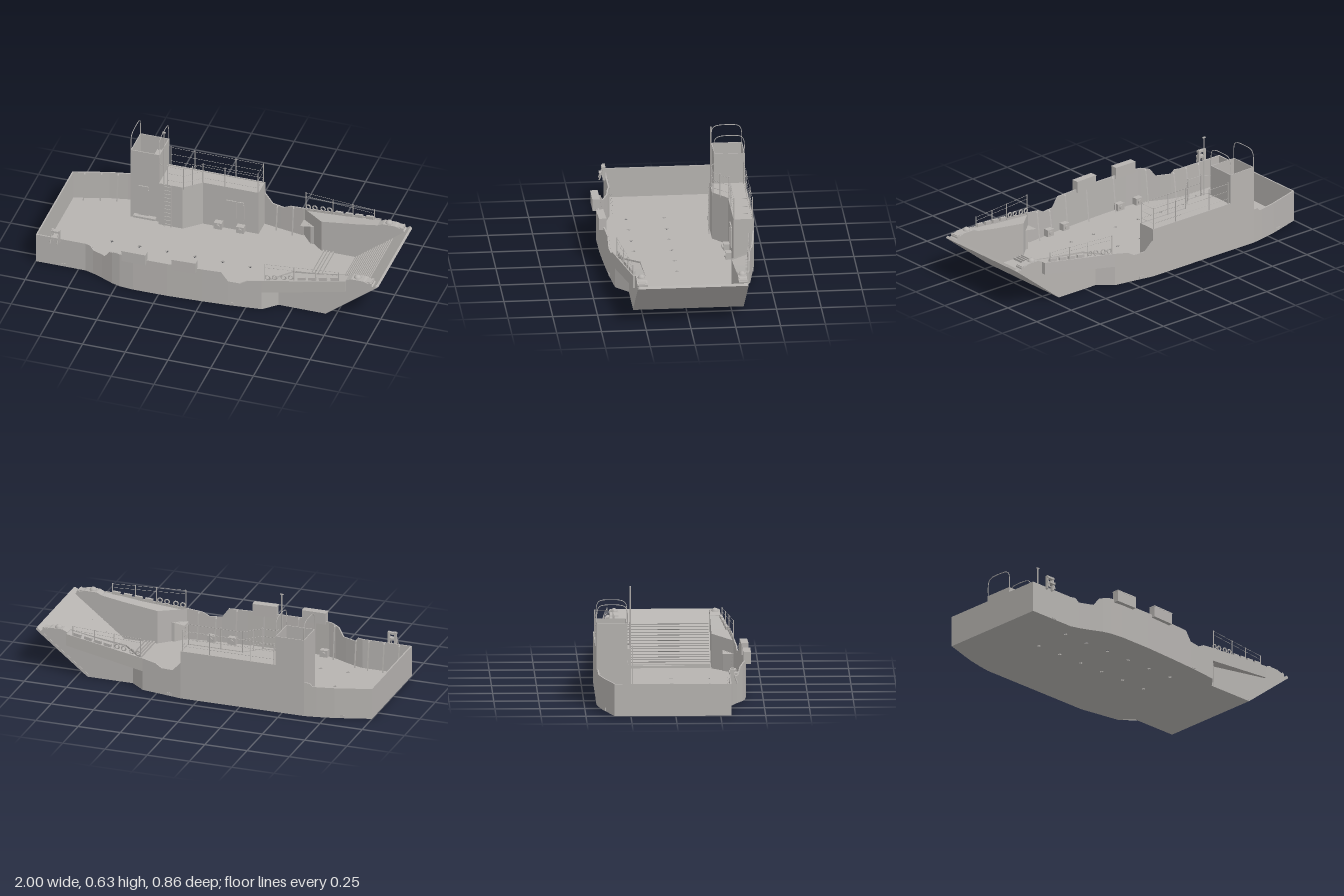
import * as THREE from 'three';

const grey = new THREE.MeshStandardMaterial({ color: 0xb6b3b0, side: THREE.DoubleSide });
grey.name = 'hull grey';

// linear lookup in a list of [x, value]
const at = (list, x) => {
  if (x <= list[0][0]) return list[0][1];
  for (let i = 1; i < list.length; i++) {
    const [a, va] = list[i - 1], [b, vb] = list[i];
    if (x <= b) return va + (vb - va) * (x - a) / (b - a);
  }
  return list[list.length - 1][1];
};

// half-breadths and bulwark heights of the two sides
const planFront = [[-1, .31], [-.71, .31], [-.66, .325], [-.6, .35], [-.53, .383], [-.48, .398], [-.4, .406], [-.2, .405], [0, .395], [.15, .385], [.34, .365], [.81, .306]];
const planBack = [[-1, -.34], [-.95, -.355], [-.88, -.376], [-.8, -.4], [-.7, -.421], [-.63, -.432], [.1, -.432], [.2, -.414], [.34, -.39], [.81, -.342]];
const topFront = [[-1, .18], [-.68, .18], [-.66, .157], [-.58, .157], [-.55, .2], [-.5, .215], [.11, .215], [.15, .16], [.22, .156], [.26, .178], [.34, .19], [.81, .25]];
const topBack = [[-1, .18], [-.68, .18], [-.66, .2], [-.631, .2], [-.63, .285], [.1, .285], [.101, .215], [.15, .16], [.22, .156], [.26, .178], [.34, .19], [.81, .25]];
const rampY = x => Math.max(0, (x - .685) * .79);
const keel = x => x < .34 ? 0 : .112 + (x - .34) * .145;
const sides = [
  { s: 1, label: 'front', plan: planFront, top: topFront, inner: .237, cheek: .295 },
  { s: -1, label: 'back', plan: planBack, top: topBack, inner: -.272, cheek: -.32 },
];

export function createModel() {
  const root = new THREE.Group();
  const add = (geo, name, x = 0, y = 0, z = 0, parent = root) => {
    const m = new THREE.Mesh(geo, grey);
    m.name = name;
    m.position.set(x, y, z);
    parent.add(m);
    return m;
  };
  const box = (name, x, y, z, w, h, d, ry = 0, parent = root) => {
    const m = add(new THREE.BoxGeometry(w, h, d), name, x, y, z, parent);
    m.rotation.y = ry;
    return m;
  };
  const rod = (name, a, b, r) => {
    const A = new THREE.Vector3(...a), B = new THREE.Vector3(...b), d = B.clone().sub(A);
    const m = add(new THREE.CylinderGeometry(r, r, d.length(), 6), name);
    m.position.copy(A).add(B).multiplyScalar(.5);
    m.quaternion.setFromUnitVectors(new THREE.Vector3(0, 1, 0), d.normalize());
    return m;
  };
  // surface joining rows of points, flat shaded
  const skin = (name, rows, wrap = false) => {
    const p = [], n = rows[0].length;
    for (let i = 0; i + 1 < rows.length; i++) {
      for (let j = 0; j < (wrap ? n : n - 1); j++) {
        const k = (j + 1) % n, a = rows[i][j], b = rows[i + 1][j], c = rows[i + 1][k], d = rows[i][k];
        p.push(...a, ...b, ...c, ...a, ...c, ...d);
      }
    }
    const g = new THREE.BufferGeometry();
    g.setAttribute('position', new THREE.Float32BufferAttribute(p, 3));
    g.computeVertexNormals();
    return add(g, name);
  };
  // upright plate along stations [x, z, bottom, top], thickened to one side
  const wall = (name, pts, t = .008) => {
    const rows = pts.map(([x, z, y0, y1], i) => {
      const a = pts[Math.max(0, i - 1)], b = pts[Math.min(pts.length - 1, i + 1)];
      const dx = b[0] - a[0], dz = b[1] - a[1], l = Math.hypot(dx, dz) || 1;
      const ox = -dz / l * t, oz = dx / l * t;
      return [[x, y0, z], [x, y1, z], [x + ox, y1, z + oz], [x + ox, y0, z + oz]];
    });
    return skin(name, rows, true);
  };
  // flat plate with an outline in x, z
  const slab = (name, outline, y, h, holes = []) => {
    const s = new THREE.Shape(outline.map(([x, z]) => new THREE.Vector2(x, -z)));
    s.holes = holes;
    const g = new THREE.ExtrudeGeometry(s, { depth: h, bevelEnabled: false });
    g.rotateX(-Math.PI / 2);
    return add(g, name, 0, y, 0);
  };

  // deck with cross-shaped drain holes
  const holes = [];
  for (const z of [.003, .215]) for (let i = 0; i < 6; i++) {
    const x = -.655 + i * .162, a = .004, b = .011;
    holes.push(new THREE.Path([[a, a], [a, b], [-a, b], [-a, a], [-b, a], [-b, -a], [-a, -a], [-a, -b], [a, -b], [a, -a], [b, -a], [b, a]]
      .map(([u, v]) => new THREE.Vector2(x + u, -z + v))));
  }
  slab('deck', [...planFront.slice(0, -1), [.4, .295], [.69, .295], [.69, -.32], [.4, -.32],
    ...planBack.slice(0, -1).reverse()], 0, .008, holes);
  wall('transom', [[-1, -.34, 0, .18], [-1, .31, 0, .18]], -.008);

  for (const { s, label, plan, top, inner, cheek } of sides) {
    const xs = [...new Set([...plan, ...top].map(p => p[0]))].sort((a, b) => a - b);
    const zAt = x => at(plan, x), yAt = x => at(top, x);
    wall(label + 'HullSide', xs.filter(x => x <= .34).map(x => [x, zAt(x), 0, yAt(x)]), -s * .008);
    // flared bow above the cut-away
    const bow = [.34, .4, .6, .81];
    wall(label + 'BowSide', bow.map(x => [x, zAt(x), keel(x), yAt(x)]), -s * .006);
    skin(label + 'BowUnderside', bow.map(x => [[x, keel(x), zAt(x)], [x, keel(x), cheek]]));
    wall(label + 'BowStep', [[.34, zAt(.34), 0, .112], [.4, cheek, 0, .122]], 0);
    skin(label + 'BowEnd', [[[.81, .18, zAt(.81)], [.81, .18, cheek]], [[.81, .25, zAt(.81)], [.81, .25, cheek]]]);
    // cheek beside the ramp and inner bulwark
    const cheekTop = x => at([[.4, .12], [.8, .18], [.81, .25], [.84, .264], [.91, .264], [.95, .25], [.97, .235]], x);
    const cx = [.4, .685, .8, .81, .84, .91, .95, .97];
    wall(label + 'Cheek', cx.map(x => [x, cheek, rampY(x), cheekTop(x)]), 0);
    const it = x => x < .81 ? yAt(x) - .004 : cheekTop(x);
    wall(label + 'InnerBulwark', [[.34, zAt(.34), 0, it(.34)], [.48, inner, 0, it(.48)],
      ...[.685, .81, .84, .91, .95, .97].map(x => [x, inner, rampY(x), it(x)])], 0);
    // walkway on the bow wing
    skin(label + 'Walkway', [.34, .48, .6, .809, .81, .84, .91, .95, .97].map(x => {
      const y = it(x) - (x < .8 ? .01 : 0);
      return [[x, y, x < .81 ? zAt(x) : cheek], [x, y, at([[.34, zAt(.34)], [.48, inner]], x)]];
    }));
    // bow winch and roller
    const mid = (inner + cheek) / 2;
    add(new THREE.SphereGeometry(.021, 16, 8, 0, Math.PI * 2, 0, Math.PI / 2), label + 'Winch', .87, .261, mid);
    box(label + 'Chock', .93, .25, mid, .05, .02, .04);
    rod(label + 'Roller', [.95, .25, inner], [.95, .25, cheek], .01);
    // bollards, fairleads and lockers on the wing
    for (const x of [.37, .41, .46, .5]) {
      const m = add(new THREE.TorusGeometry(.013, .004, 6, 14), label + 'Fairlead', x, yAt(x) + .018, zAt(x) - s * .012);
      m.rotation.y = s * .12;
    }
    for (const x of [.56, .62, .68, .745]) {
      const m = box(label + 'Locker', x, yAt(x) + .008, zAt(x) - s * .015, .045, .018, .014, s * .12);
      m.rotation.z = .12;
    }
    // bow rail
    const posts = [.355, .52, .64, .77];
    posts.forEach((x, i) => {
      const z = zAt(x) - s * .008;
      rod(label + 'BowPost', [x, yAt(x) - .01, z], [x, .303, z], .0028);
      if (i) for (const y of [.278, .3]) {
        const w = posts[i - 1];
        rod(label + 'BowRailWire', [w, y, zAt(w) - s * .008], [x, y, z], .001);
      }
    });
    // inside braces
    for (const x of [-.93, -.84, -.75, -.67, -.52, -.3, -.1, .06, .18, .28]) {
      if (s < 0 && x > -.65 && x < .1) continue;
      const z = zAt(x) - s * .007, y = yAt(x);
      skin(label + 'Brace', [[[x - .004, .008, z], [x + .004, .008, z]], [[x - .004, .008, z - s * .03], [x + .004, .008, z - s * .03]],
        [[x - .004, y - .01, z - s * .008], [x + .004, y - .01, z - s * .008]], [[x - .004, y, z], [x + .004, y, z]]]);
    }
    // scuppers
    for (const x of [-.84, .17]) box(label + 'Scupper', x, .012, zAt(x), .03, .016, .006);
  }

  // bow ramp with rounded upper corners and cross ridges
  const ramp = new THREE.Group();
  ramp.name = 'ramp';
  const ang = Math.atan2(.245, .31), u = [Math.cos(ang), Math.sin(ang)], L = .395, r = .018;
  ramp.matrixAutoUpdate = true;
  ramp.quaternion.setFromRotationMatrix(new THREE.Matrix4().makeBasis(
    new THREE.Vector3(0, 0, 1), new THREE.Vector3(u[0], u[1], 0), new THREE.Vector3(-u[1], u[0], 0)));
  ramp.position.set(.69, 0, 0);
  root.add(ramp);
  const rs = new THREE.Shape();
  rs.moveTo(-.322, 0).lineTo(.297, 0).lineTo(.297, L - r).quadraticCurveTo(.297, L, .297 - r, L);
  rs.lineTo(-.322 + r, L).quadraticCurveTo(-.322, L, -.322, L - r).lineTo(-.322, 0);
  add(new THREE.ExtrudeGeometry(rs, { depth: .015, bevelEnabled: false }), 'rampPlate', 0, 0, 0, ramp);
  for (let i = 0; i < 14; i++) box('rampRidge', -.014, .015 + i * .0205, .017, .49, .006, .006, 0, ramp);
  for (const x of [.497, .515, .532, .553]) box('deckBar', x, .014, -.017, .006, .014, .5);

  // deckhouse
  const roof = .285;
  const house = [[-.46, -.43], [-.46, -.236], [-.32, -.236], [-.228, -.318], [.098, -.318], [.098, -.43]];
  wall('deckhouseWall', house.map(([x, z]) => [x, z, 0, roof]), 0);
  slab('deckhouseRoof', house, roof - .012, .008);
  // tower, open at the top
  const tower = [[-.632, -.432], [-.632, -.26], [-.462, -.26], [-.462, -.432], [-.632, -.432]];
  for (let i = 0; i < 4; i++) wall('towerWall', [tower[i], tower[i + 1]].map(([x, z]) => [x, z, 0, .457]), -.005);
  slab('towerFloor', tower.slice(0, 4), .3, .006);
  box('towerConsole', -.50, .345, -.38, .05, .085, .06);
  box('towerPlatform', -.545, .03, -.247, .13, .012, .026);
  // hoops over the tower
  for (const x of [-.63, -.465]) {
    const c = new THREE.CatmullRomCurve3([[.44, -.26], [.52, -.26], [.545, -.267], [.558, -.285], [.564, -.345], [.558, -.408], [.545, -.422], [.52, -.429], [.44, -.429]]
      .map(([y, z]) => new THREE.Vector3(x, y, z)));
    add(new THREE.TubeGeometry(c, 40, .0022, 6), 'towerHoop');
  }
  // mast
  rod('mast', [-.43, .27, -.24], [-.43, .635, -.24], .004);
  box('mastCap', -.43, .63, -.24, .02, .004, .008);
  rod('mastArm', [-.462, .4, -.262], [-.43, .4, -.24], .002);

  // deckhouse rails
  const railInner = [[-.41, -.24], [-.315, -.24], [-.275, -.277], [-.228, -.322], [-.1, -.322], [.092, -.322], [.092, -.425]];
  const railOuter = [[-.45, -.425], [-.31, -.425], [-.07, -.425], [.092, -.425]];
  for (const line of [railInner, railOuter]) line.forEach(([x, z], i) => {
    rod('housePost', [x, .27, z], [x, .412, z], .0028);
    if (i) for (const y of [.315, .36, .405]) rod('houseRailWire', [line[i - 1][0], y, line[i - 1][1]], [x, y, z], .001);
  });

  // doors and ladder on the inner faces
  for (const [x, z, y, w, h] of [[-.555, -.257, .13, .06, .2], [-.06, -.315, .14, .06, .12], [-.005, -.315, .14, .035, .12]]) {
    box('door', x, y, z, w, h, .006);
    box('doorHinge', x + w / 2, y, z + .004, .006, h * .8, .006);
  }
  for (const x of [-.425, -.385]) box('ladderRail', x, .15, -.226, .004, .28, .006);
  for (let i = 0; i < 11; i++) box('ladderRung', -.405, .025 + i * .025, -.226, .04, .004, .004);

  // ventilation boxes on the deck
  for (const [x, z, s] of [[-.13, -.298, 1], [.0, -.298, 1], [.2, .35, -1], [.08, .36, -1], [-.33, .375, -1], [-.46, .37, -1]]) {
    box('deckBox', x, .035, z, .045, .04, .034);
    const m = add(new THREE.CylinderGeometry(.012, .012, .008, 16), 'deckBoxCap', x, .035, z + s * .02);
    m.rotation.x = Math.PI / 2;
  }
  // raft lockers hung on the side
  for (const [x, z, ry] of [[-.39, .411, 0], [-.1, .403, .04]]) {
    box('sideLocker', x, .231, z, .14, .068, .04, ry);
    box('sideLockerLid', x, .262, z, .142, .006, .042, ry);
  }
  // stern davit
  for (const x of [-.9, -.86]) {
    box('davitLeg', x, .205, .318, .01, .08, .016);
    rod('davitStay', [x, .24, .318], [x - .005, .165, .345], .004);
  }
  box('davitHead', -.88, .235, .322, .05, .012, .02);
  box('davitFoot', -.88, .2, .33, .04, .012, .03);

  return root;
}
